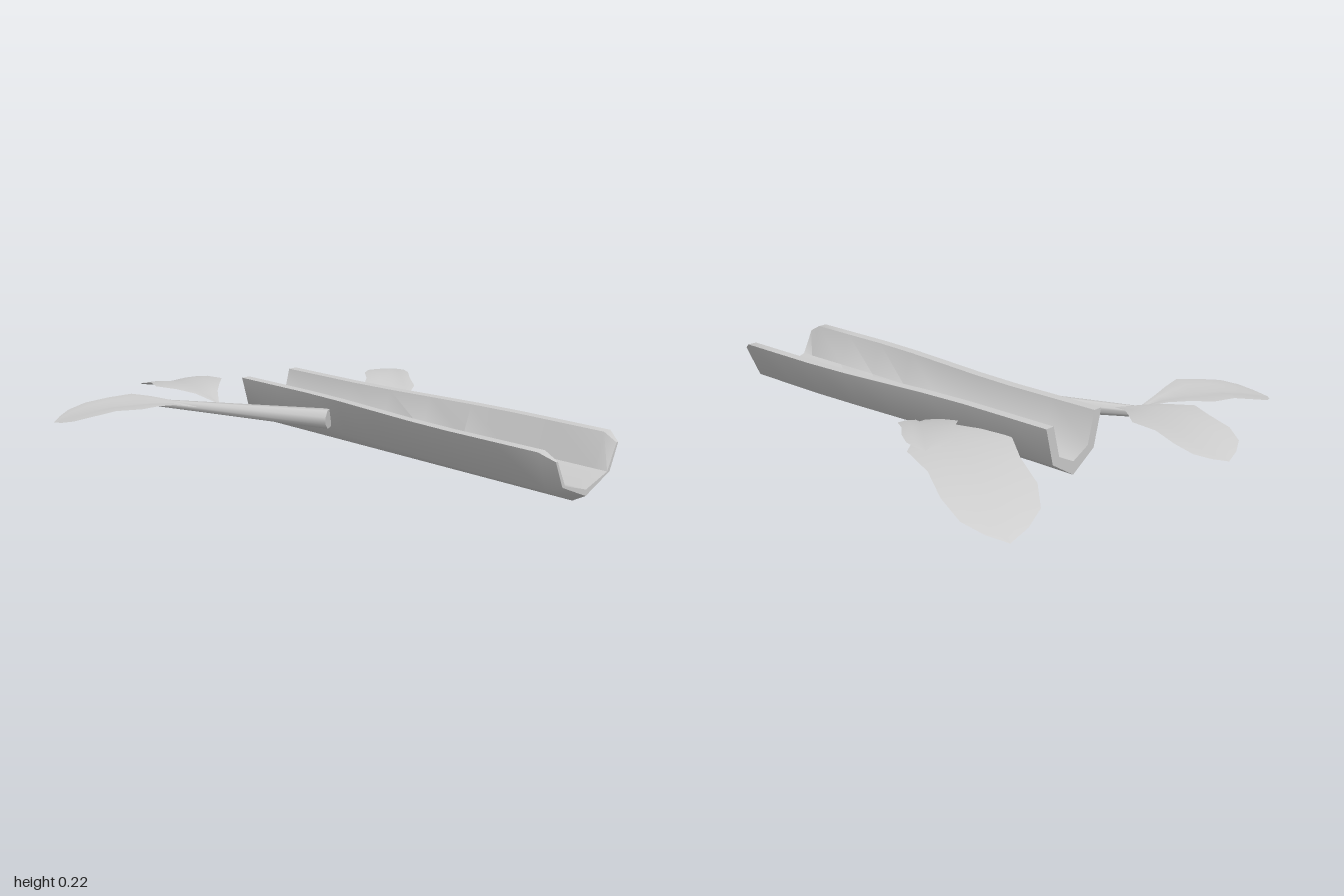
import * as THREE from 'three';
import { toCreasedNormals } from 'three/addons/utils/BufferGeometryUtils.js';

const CX = 0.155; // centre line of the trough

function makeMesh(name, geometry, side = THREE.FrontSide) {
  const mesh = new THREE.Mesh(geometry, new THREE.MeshStandardMaterial({ color: 0xcccccc, side }));
  mesh.name = name;
  return mesh;
}

// Closed cross-section: outer wall left to right, then inner wall back again
function troughSection(z, bevel) {
  const flare = 0.055 * THREE.MathUtils.smoothstep(z, -0.2, 0.6);
  const rim = 0.225 - bevel;
  const mirror = (p) => [...p.map(([x, y]) => [-x, y]), ...p.slice(0, 2).reverse()];
  const outer = mirror([
    [0.145 + flare - bevel, rim],
    [0.109 + flare * 0.75 - bevel * 0.7, 0.09 + bevel * 0.6],
    [0, 0.023 + bevel],
  ]);
  const inner = mirror([[0.108 + flare, rim], [0.076 + flare * 0.75, 0.108], [0, 0.072]]);
  return [...outer, ...inner.reverse()].map(([x, y]) => [CX + x, y, z]);
}

function makeTrough() {
  const sections = [];
  for (let k = 0; k <= 8; k++) sections.push(troughSection(-0.535 + (1.485 * k) / 8, 0));
  sections.push(troughSection(1, 0.027));
  const pos = [];
  const quad = (a, b, c, d) => pos.push(...a, ...b, ...c, ...a, ...c, ...d);

  // walls
  for (let k = 0; k < sections.length - 1; k++) {
    const s = sections[k], t = sections[k + 1];
    for (let i = 0; i < 10; i++) {
      const j = (i + 1) % 10;
      quad(s[i], s[j], t[j], t[i]);
    }
  }
  // end faces
  const back = sections[0], front = sections[sections.length - 1];
  for (let i = 0; i < 4; i++) {
    quad(front[i], front[i + 1], front[8 - i], front[9 - i]);
    quad(back[9 - i], back[8 - i], back[i + 1], back[i]);
  }
  const geo = new THREE.BufferGeometry();
  geo.setAttribute('position', new THREE.Float32BufferAttribute(pos, 3));
  return makeMesh('trough', toCreasedNormals(geo, 0.9));
}

// Half outline shared by all leaves: [distance along, half-width] per unit of length
const LEAF_OUTLINE = [
  [0, 0], [0.18, 0.085], [0.3, 0.165], [0.43, 0.255], [0.6, 0.22],
  [0.76, 0.225], [0.88, 0.185], [0.95, 0.1], [1, 0],
];

// Leaf from base to tip [x, z], arched through three heights and creased along the midrib
function makeLeaf({ name, base, tip, leftWidth, rightWidth, heights: [y0, y1, y2] }) {
  const dx = tip[0] - base[0], dz = tip[1] - base[1];
  const pos = [], index = [];
  LEAF_OUTLINE.forEach(([t, w], k) => {
    const arch = y0 * (1 - t) * (1 - 2 * t) + 4 * y1 * t * (1 - t) + y2 * t * (2 * t - 1);
    for (let i = 0; i < 5; i++) {
      const s = (i - 2) / 2;
      const across = s * w * (s < 0 ? leftWidth : rightWidth);
      const crease = i === 2 ? 0.012 * Math.sin(Math.PI * t) : 0;
      pos.push(base[0] + dx * t - dz * across, arch - crease, base[1] + dz * t + dx * across);
      if (k < LEAF_OUTLINE.length - 1 && i < 4) {
        const a = k * 5 + i;
        index.push(a, a + 1, a + 6, a, a + 6, a + 5);
      }
    }
  });
  const geo = new THREE.BufferGeometry();
  geo.setAttribute('position', new THREE.Float32BufferAttribute(pos, 3));
  geo.setIndex(index);
  geo.computeVertexNormals();
  return makeMesh(name, geo, THREE.DoubleSide);
}

// Tapered twig on the right side
function makeStem() {
  const from = new THREE.Vector3(0.012, 0.145, -0.04);
  const to = new THREE.Vector3(-0.297, 0.148, -0.69);
  const dir = to.clone().sub(from);
  const mesh = makeMesh('stem', new THREE.CylinderGeometry(0.014, 0.038, dir.length(), 8));
  mesh.position.copy(from).lerp(to, 0.5);
  mesh.quaternion.setFromUnitVectors(new THREE.Vector3(0, 1, 0), dir.normalize());
  return mesh;
}

const LEAVES = [
  { name: 'stemOuterLeaf', base: [-0.235, -0.51], tip: [-0.72, -0.755], leftWidth: 1, rightWidth: 0.95, heights: [0.15, 0.19, 0.13] },
  { name: 'stemTipLeaf', base: [-0.17, -0.46], tip: [-0.055, -1], leftWidth: 1.1, rightWidth: 0.95, heights: [0.16, 0.203, 0.135] },
  { name: 'largeSideLeaf', base: [0.3, 0.03], tip: [0.655, -0.695], leftWidth: 0.95, rightWidth: 0.83, heights: [0.11, 0.145, 0] },
  { name: 'smallSideLeaf', base: [0.305, 0.045], tip: [0.65, -0.335], leftWidth: 0.95, rightWidth: 0.6, heights: [0.11, 0.197, 0.2] },
];

export function createModel() {
  const group = new THREE.Group();
  group.name = 'leafyTrough';
  group.add(makeTrough(), makeStem(), ...LEAVES.map(makeLeaf));
  return group;
}
